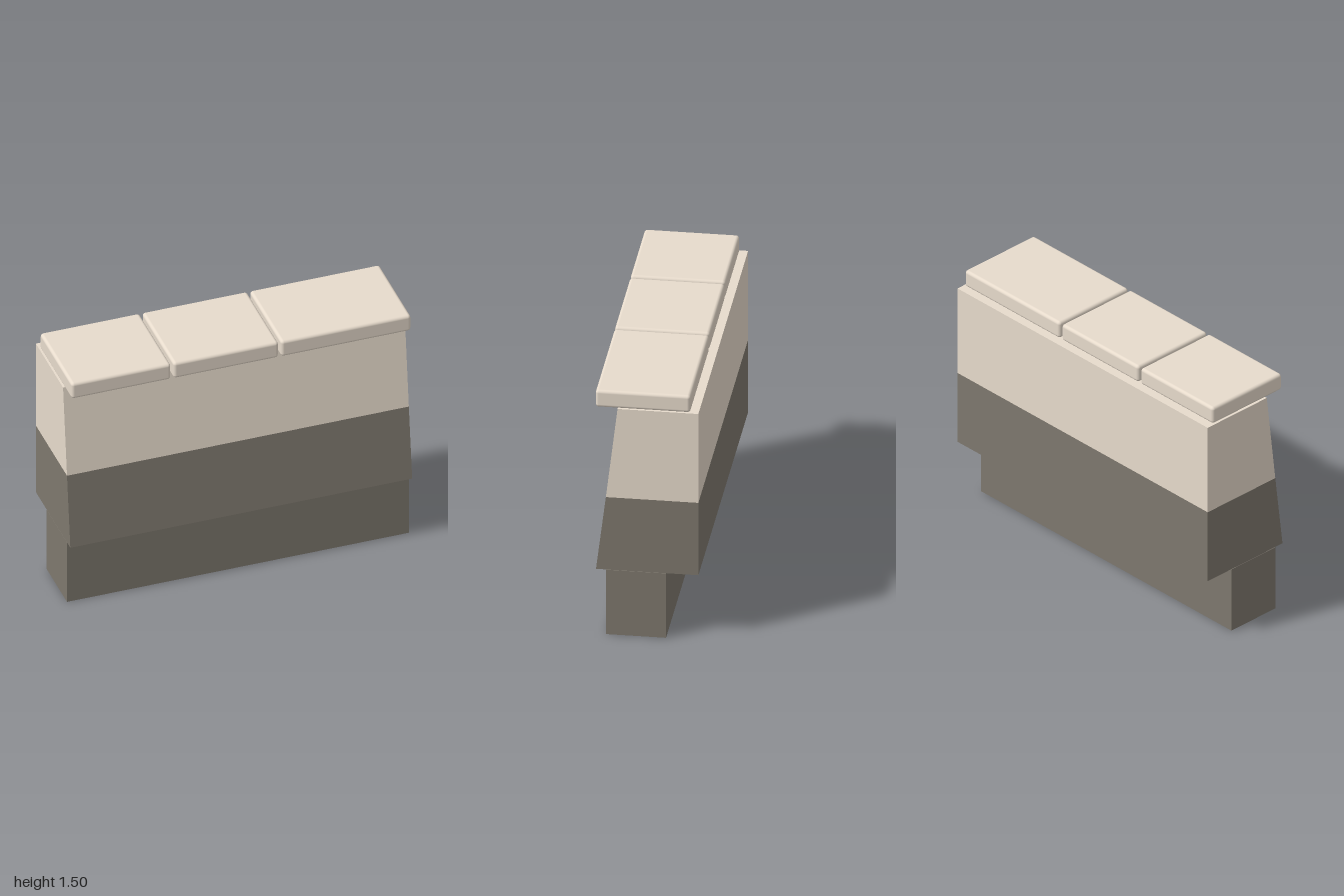
import * as THREE from 'three';
import { RoundedBoxGeometry } from 'three/addons/geometries/RoundedBoxGeometry.js';

function material(name, color) {
  const m = new THREE.MeshStandardMaterial({ color });
  m.name = name;
  return m;
}

// Prism running the full length along x, from a [z, y] cross-section
function wallPart(name, section, mat) {
  const shape = new THREE.Shape(section.map(([z, y]) => new THREE.Vector2(-z, y)));
  const geo = new THREE.ExtrudeGeometry(shape, { depth: 2, bevelEnabled: false });
  geo.rotateY(Math.PI / 2).translate(-1, 0, 0);
  const mesh = new THREE.Mesh(geo, mat);
  mesh.name = name;
  return mesh;
}

// Downward-facing sheet covering a bottom from z0 to z1
function underside(name, z0, z1, y, mat) {
  const geo = new THREE.PlaneGeometry(2, z1 - z0).rotateX(Math.PI / 2);
  const mesh = new THREE.Mesh(geo, mat);
  mesh.position.set(0, y, (z0 + z1) / 2);
  mesh.name = name;
  return mesh;
}

export function createModel() {
  const model = new THREE.Group();
  model.name = 'copedWall';
  const darkStone = material('dark stone', 0x7e786e);
  const paleStone = material('pale stone', 0xe8dccd);
  const shadowStone = material('black underside', 0x3b3b3b);

  // Narrow footing, then a body whose front leans back as it rises
  model.add(
    wallPart('footing', [[0.225, 0.002], [0.225, 0.4], [-0.11, 0.4], [-0.11, 0.002]], darkStone),
    wallPart('lowerWall', [[0.28, 0.402], [0.225, 0.85], [-0.29, 0.85], [-0.29, 0.402]], darkStone),
    wallPart('upperWall', [[0.225, 0.85], [0.16, 1.4], [-0.29, 1.4], [-0.29, 0.85]], paleStone),
  );

  // Black bottoms of the footing and of the overhanging body
  model.add(
    underside('footingUnderside', -0.11, 0.225, 0, shadowStone),
    underside('wallUnderside', -0.29, 0.28, 0.4, shadowStone),
  );

  // Three rounded coping slabs of differing length, overhanging the front
  const caps = new THREE.Group();
  caps.name = 'copingSlabs';
  [[-0.993, -0.412], [-0.396, 0.218], [0.233, 0.993]].forEach(([x0, x1], i) => {
    const geo = new RoundedBoxGeometry(x1 - x0, 0.104, 0.528, 3, 0.018);
    const slab = new THREE.Mesh(geo, paleStone);
    slab.position.set((x0 + x1) / 2, 1.45, 0.02);
    slab.name = `copingSlab${i + 1}`;
    caps.add(slab);
  });
  model.add(caps);
  return model;
}
